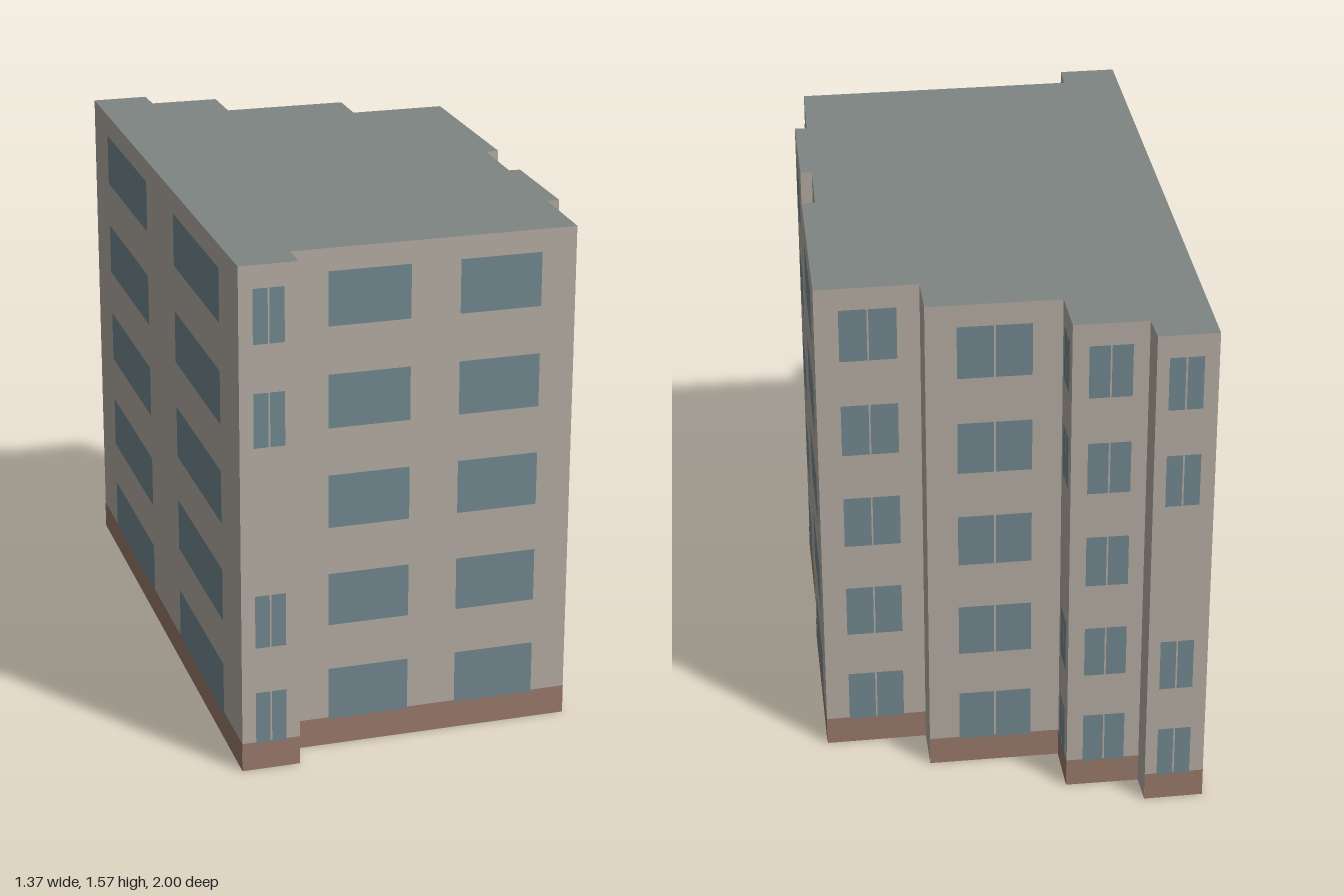
import * as THREE from 'three';

const HEIGHT = 1.57;
const PLINTH = 0.09;
const ROWS = [0.168, 0.478, 0.792, 1.105, 1.418]; // window centre heights
const WINDOW_HEIGHT = 0.166;

const mat = (color, side = THREE.FrontSide) => new THREE.MeshStandardMaterial({ color, side, roughness: 0.9 });

// Each facade starts at (x, z) and runs to the next entry, back edge first, then right, front, left.
// windows: [start, end, panes] as fractions of the facade; skip: storey without windows.
const FACADES = [
  { p: [-0.686, -0.965], plinth: true, windows: [[0.24, 0.8, 2]], skip: 2 },
  { p: [-0.511, -1.0] },
  { p: [-0.49, -0.903], plinth: true, windows: [[0.21, 0.78, 2]] },
  { p: [-0.273, -0.943], plinth: true, windows: [[0.22, 0.79, 2]], skip: 2 },
  { p: [-0.241, -0.781], plinth: true, windows: [[0.22, 0.77, 2]] },
  { p: [0.151, -0.856] },
  { p: [0.177, -0.708], plinth: true, windows: [[0.22, 0.77, 2]] },
  { p: [0.479, -0.768], plinth: true, windows: [[0.23, 0.776, 2]] },
  { p: [0.583, -0.17] },
  { p: [0.543, -0.159], plinth: true, windows: [[0.255, 0.8, 2]] },
  { p: [0.58, 0.069] },
  { p: [0.615, 0.064], plinth: true, windows: [[0.25, 0.785, 2]] },
  { p: [0.676, 0.416] },
  { p: [0.638, 0.421], plinth: true, windows: [[0.265, 0.8, 2]] },
  { p: [0.68, 0.694], plinth: true, windows: [[0.123, 0.41, 1], [0.583, 0.87, 1]] },
  { p: [-0.177, 0.866] },
  { p: [-0.162, 0.961], plinth: true, windows: [[0.235, 0.765, 2]], skip: 2 },
  { p: [-0.336, 0.996], plinth: true, windows: [[0.11, 0.4, 1], [0.59, 0.89, 1]] },
];

export function createModel() {
  const building = new THREE.Group();
  building.name = 'apartmentBlock';
  const wallMat = mat(0xb3aba2, THREE.DoubleSide);
  const plinthMat = mat(0x98786a);
  const glassMat = mat(0x70878e);
  const roofMat = mat(0x7d8582, THREE.DoubleSide);

  FACADES.forEach((f, i) => {
    const a = new THREE.Vector2(...f.p);
    const b = new THREE.Vector2(...FACADES[(i + 1) % FACADES.length].p);
    const length = a.distanceTo(b);
    const normal = new THREE.Vector2(b.y - a.y, a.x - b.x).normalize();
    const facade = new THREE.Group();
    facade.name = 'facade';
    building.add(facade);

    // Flat panel covering the fraction t0..t1 of the facade, lifted slightly off the wall
    const panel = (name, t0, t1, y, h, lift, material) => {
      const mesh = new THREE.Mesh(new THREE.PlaneGeometry((t1 - t0) * length, h), material);
      const c = a.clone().lerp(b, (t0 + t1) / 2).addScaledVector(normal, lift);
      mesh.position.set(c.x, y, c.y);
      mesh.rotation.y = Math.atan2(normal.x, normal.y);
      mesh.name = name;
      facade.add(mesh);
    };

    panel('wall', 0, 1, HEIGHT / 2, HEIGHT, 0, wallMat);
    if (f.plinth) panel('plinth', 0, 1, PLINTH / 2, PLINTH, 0.001, plinthMat);

    // Windows on every storey, divided into panes by a narrow gap
    for (const [t0, t1, panes] of f.windows ?? []) {
      const gap = panes > 1 ? 0.005 / length : 0;
      const w = (t1 - t0 - gap * (panes - 1)) / panes;
      ROWS.forEach((y, row) => {
        if (row === f.skip) return;
        for (let k = 0; k < panes; k++) {
          const s = t0 + k * (w + gap);
          panel('windowPane', s, s + w, y, WINDOW_HEIGHT, 0.002, glassMat);
        }
      });
    }
  });

  // Flat roof over the stepped outline; the underside of the block is open
  const outline = new THREE.Shape(FACADES.map(({ p }) => new THREE.Vector2(p[0], -p[1])));
  const roof = new THREE.Mesh(new THREE.ShapeGeometry(outline).rotateX(-Math.PI / 2), roofMat);
  roof.position.y = HEIGHT;
  roof.name = 'roof';
  building.add(roof);

  return building;
}
